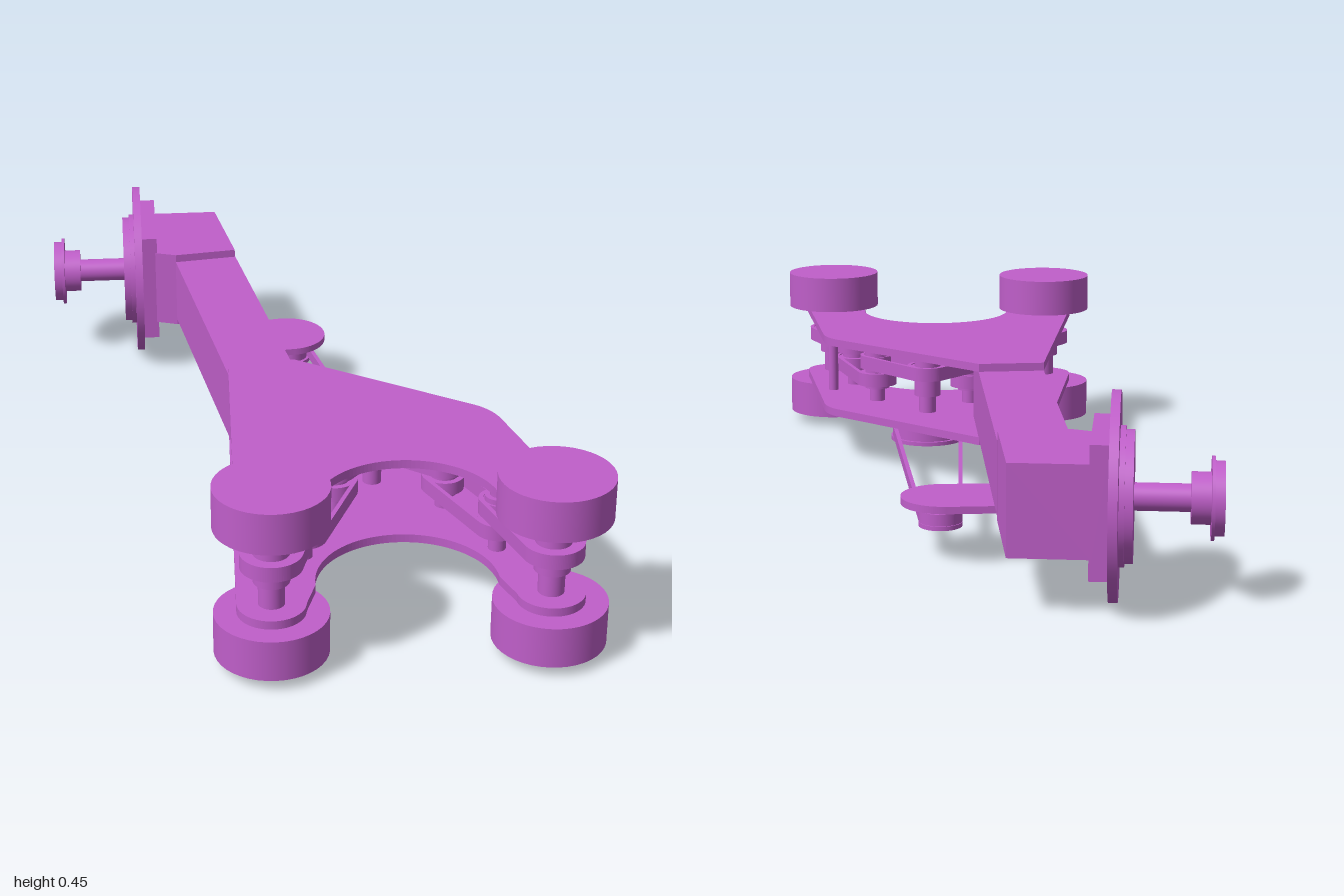
import * as THREE from 'three';

const material = new THREE.MeshStandardMaterial({ color: 0xc05fca });
const MID = 0.229; // height of the arm's centre line

export function createModel() {
  const group = new THREE.Group();

  const add = (name, geometry, x = 0, y = 0, z = 0) => {
    const mesh = new THREE.Mesh(geometry, material);
    mesh.name = name;
    mesh.position.set(x, y, z);
    group.add(mesh);
    return mesh;
  };

  // Horizontal slab from a plan shape drawn as (x, z), between heights y0 and y1
  const slab = (name, shape, y0, y1) => {
    const g = new THREE.ExtrudeGeometry(shape, { depth: y1 - y0, bevelEnabled: false, curveSegments: 32 });
    g.rotateX(Math.PI / 2);
    return add(name, g, 0, y1, 0);
  };
  const polygon = (points) => new THREE.Shape(points.map(([x, z]) => new THREE.Vector2(x, z)));

  // Upright cylinder between two heights
  const post = (name, [x, z], r, y0, y1) =>
    add(name, new THREE.CylinderGeometry(r, r, y1 - y0, 40), x, (y0 + y1) / 2, z);

  // Belt loop round two pulleys
  const loop = (Type, p, r1, q, r2) => {
    const dx = q[0] - p[0], dz = q[1] - p[1];
    const a = Math.atan2(dz, dx), b = Math.acos((r1 - r2) / Math.hypot(dx, dz));
    const path = new Type();
    path.absarc(p[0], p[1], r1, a + b, a - b + 2 * Math.PI, false);
    path.absarc(q[0], q[1], r2, a - b, a + b, false);
    path.closePath();
    return path;
  };
  const belt = (name, p, r1, q, r2, y0, y1, t = 0.01) => {
    const shape = loop(THREE.Shape, p, r1, q, r2);
    shape.holes.push(loop(THREE.Path, p, r1 - t, q, r2 - t));
    slab(name, shape, y0, y1);
  };

  // Forked plates above and below, with rounded tips and an arch between the wheels
  const fork = new THREE.Shape();
  fork.moveTo(-0.17, 0.10);
  fork.lineTo(-0.01, 0.07);
  fork.lineTo(0.385, 0.35);
  fork.quadraticCurveTo(0.425, 0.38, 0.437, 0.43);
  fork.lineTo(0.547, 0.855);
  fork.absarc(0.475, 0.875, 0.075, -0.26, Math.PI - 0.1, false);
  fork.lineTo(0.375, 0.81);
  fork.absarc(0.175, 0.81, 0.2, 0, -Math.PI, true);
  fork.lineTo(-0.05, 0.882);
  fork.absarc(-0.125, 0.875, 0.075, 0.1, Math.PI + 0.04, false);
  fork.closePath();
  slab('forkPlateTop', fork, 0.313, 0.333);
  slab('forkPlateBottom', fork, 0.125, 0.145);

  // Arm beam, running in between the plates
  slab('armBeam', polygon([[-0.138, 0.325], [0.024, 0.305], [-0.11, -0.645], [-0.272, -0.62]]), 0.145, 0.313);

  // Shoulder block and its mounting flange
  slab('shoulderBlock', polygon([[-0.325, -0.92], [-0.15, -0.92], [-0.11, -0.635], [-0.27, -0.61], [-0.325, -0.63]]), 0.13, 0.333);
  add('shoulderFlange', new THREE.BoxGeometry(0.042, 0.29, 0.29), -0.341, MID, -0.775);

  // Shoulder disc, hub, axle and end knob turned about the x axis
  const profile = [
    [0, -0.36], [0.225, -0.36], [0.225, -0.38], [0.15, -0.38], [0.15, -0.392], [0.142, -0.392],
    [0.142, -0.41], [0.03, -0.41], [0.03, -0.53], [0.056, -0.53], [0.056, -0.572], [0.09, -0.572],
    [0.09, -0.579], [0.08, -0.579], [0.08, -0.6], [0.022, -0.6], [0.022, -0.575], [0, -0.575],
  ];
  const turned = new THREE.Group();
  turned.name = 'shoulderPivot';
  turned.position.set(0, MID, -0.775);
  // One lathe strip per profile segment keeps every edge sharp
  for (let i = 0; i < profile.length - 1; i++) {
    const pair = [profile[i + 1], profile[i]].map(([r, h]) => new THREE.Vector2(r, h));
    const ring = new THREE.Mesh(new THREE.LatheGeometry(pair, 64), material);
    ring.name = 'pivotRing';
    ring.rotation.z = -Math.PI / 2;
    turned.add(ring);
  }
  group.add(turned);

  // Motor bracket under the beam
  const bracket = new THREE.Shape();
  bracket.moveTo(-0.12, -0.57);
  bracket.lineTo(0.008, -0.59);
  bracket.absarc(0.02, -0.49, 0.1, -1.7, 1.43, false);
  bracket.lineTo(-0.1, -0.375);
  bracket.closePath();
  slab('motorBracket', bracket, 0.128, 0.145);

  // Outer drive: small and large pulley with a long belt
  const motor = [0.03, -0.485], drive = [0.15, 0.352];
  const outer = [[motor, 0.046], [drive, 0.092]];
  for (const [at, r] of outer) {
    post('outerPulley', at, r - 0.004, 0.078, 0.12);
    post('outerPulleyFlange', at, r + 0.004, 0.073, 0.083);
    post('outerPulleyFlange', at, r + 0.004, 0.113, 0.123);
    post('outerPulleyShaft', at, 0.02, 0.073, 0.14);
  }
  belt('outerBelt', motor, 0.05, drive, 0.092, 0.084, 0.111);

  // Central drive shaft and pulleys
  post('driveShaft', drive, 0.022, 0.12, 0.32);
  post('driveCollar', drive, 0.034, 0.19, 0.285);
  post('drivePulley', drive, 0.045, 0.237, 0.268);

  // Wheels and belt train, mirrored about the fork's centre line
  for (const side of [1, -1]) {
    const at = (x, z) => [0.175 + side * x, z];
    const wheel = at(0.3, 0.875), idler = at(0.215, 0.685), relay = at(0.125, 0.48);
    post('wheelTop', wheel, 0.125, 0.333, 0.428);
    post('wheelBottom', wheel, 0.125, 0.03, 0.125);
    post('wheelAxle', wheel, 0.029, 0.12, 0.34);
    post('wheelPulley', wheel, 0.06, 0.237, 0.268);
    post('wheelPulleyHub', wheel, 0.04, 0.2, 0.285);
    post('standoff', at(0.262, 0.6), 0.013, 0.14, 0.32);

    for (const p of [idler, relay]) {
      post('idlerShaft', p, 0.02, 0.14, 0.32);
      post('idlerHub', p, 0.032, 0.18, 0.28);
      post('upperIdlerPulley', p, 0.037, 0.237, 0.268);
      post('lowerIdlerPulley', p, 0.046, 0.192, 0.223);
    }
    belt('wheelBelt', wheel, 0.068, idler, 0.045, 0.235, 0.27);
    belt('middleBelt', idler, 0.052, relay, 0.052, 0.19, 0.225);
    belt('driveBelt', relay, 0.045, drive, 0.052, 0.235, 0.27);
  }

  return group;
}
